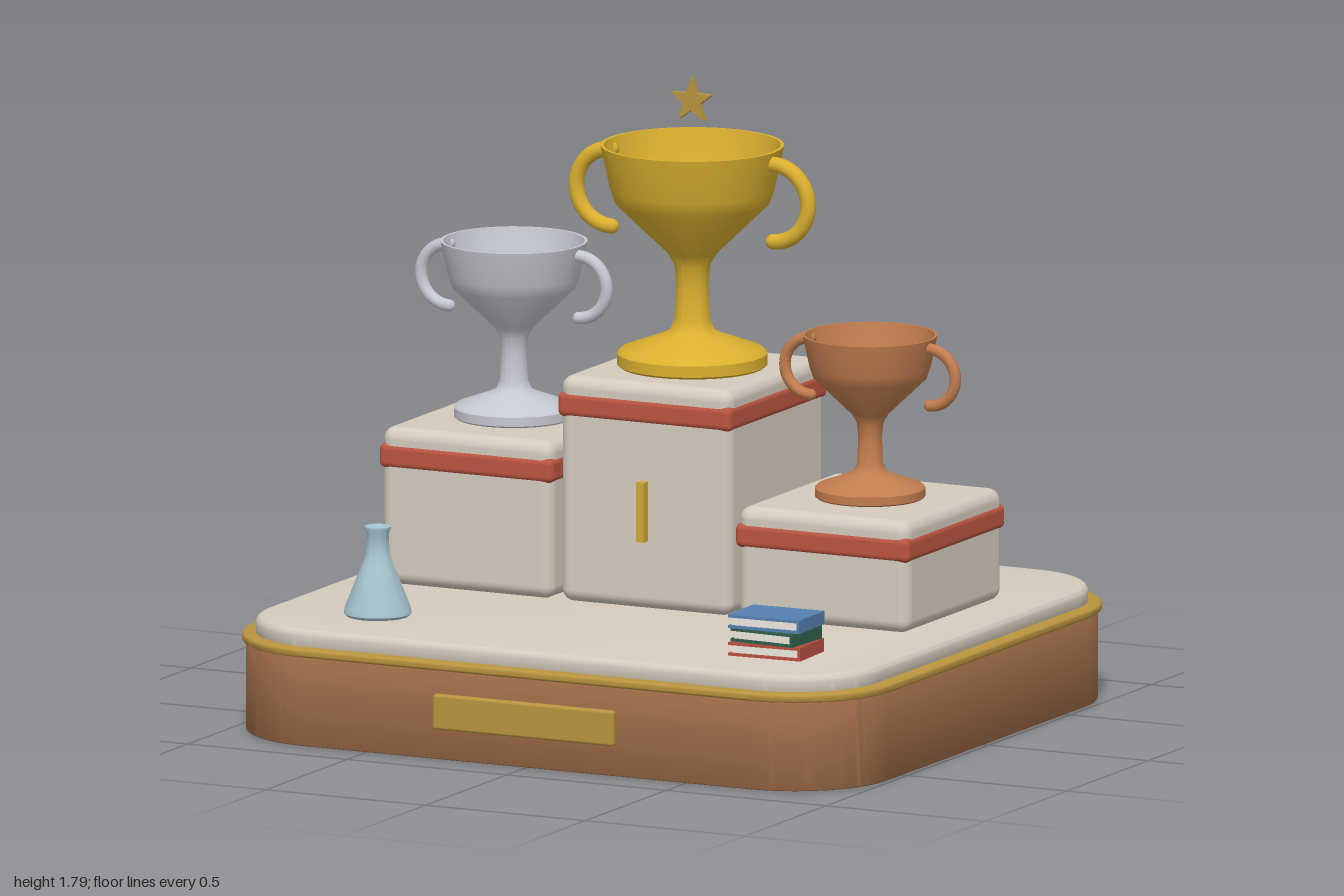
import * as THREE from 'three';
import { toCreasedNormals } from 'three/addons/utils/BufferGeometryUtils.js';
import { RoundedBoxGeometry } from 'three/addons/geometries/RoundedBoxGeometry.js';

const material = (color, side = THREE.FrontSide) => new THREE.MeshStandardMaterial({ color, side });
const WOOD = material(0xa06d48), CREAM = material(0xd4cbbd), TRIM = material(0xb9943f);
const RED = material(0xbb5540), PAPER = material(0xeeeae0);

function add(parent, name, geometry, mat, x = 0, y = 0, z = 0) {
  const mesh = new THREE.Mesh(geometry, mat);
  mesh.name = name;
  mesh.position.set(x, y, z);
  parent.add(mesh);
  return mesh;
}

// Flat plate with rounded plan corners, standing on y = 0, soft upper and lower edges
function plate(halfX, halfZ, radius, height, bevel) {
  const x = halfX - bevel, z = halfZ - bevel, r = radius - bevel;
  const s = new THREE.Shape();
  s.absarc(x - r, z - r, r, 0, Math.PI / 2);
  s.absarc(r - x, z - r, r, Math.PI / 2, Math.PI);
  s.absarc(r - x, r - z, r, Math.PI, Math.PI * 1.5);
  s.absarc(x - r, r - z, r, Math.PI * 1.5, Math.PI * 2);
  s.closePath();
  const g = new THREE.ExtrudeGeometry(s, {
    depth: height - 2 * bevel, bevelThickness: bevel, bevelSize: bevel, bevelSegments: 4, curveSegments: 16,
  });
  g.translate(0, 0, bevel).rotateX(-Math.PI / 2);
  return toCreasedNormals(g, 0.6);
}

function lathe(points, segments = 48) {
  const g = new THREE.LatheGeometry(points.map(([r, y]) => new THREE.Vector2(r, y)), segments);
  return toCreasedNormals(g, 0.75);
}

// Cup with foot, stem and two hooked handles
function trophy(name, color, scale) {
  const group = new THREE.Group();
  group.name = name;
  const metal = material(color, THREE.DoubleSide);
  add(group, 'cup', lathe([
    [0, 0], [0.2, 0], [0.21, 0.008], [0.21, 0.04], [0.2, 0.05], [0.09, 0.09], [0.062, 0.105], [0.05, 0.135],
    [0.045, 0.23], [0.05, 0.29], [0.07, 0.325], [0.215, 0.465], [0.23, 0.505], [0.257, 0.631],
    [0.247, 0.631], [0.22, 0.51], [0.2, 0.465], [0.06, 0.345], [0, 0.335],
  ]), metal);
  for (const side of [-1, 1]) {
    const handle = add(group, side > 0 ? 'leftHandle' : 'rightHandle',
      new THREE.TorusGeometry(0.11, 0.022, 12, 28, Math.PI), metal, side * 0.253, 0.487, 0);
    handle.rotation.z = -side * Math.PI / 2;
    // Rounded handle ends
    for (const y of [-0.11, 0.11])
      add(group, 'handleEnd', new THREE.SphereGeometry(0.0215, 12, 8), metal, side * 0.253, 0.487 + y, 0);
  }
  group.scale.setScalar(scale);
  return group;
}

function star(outer, inner, depth) {
  const s = new THREE.Shape();
  for (let i = 0; i < 10; i++) {
    const a = Math.PI / 2 + i * Math.PI / 5, r = i % 2 ? inner : outer;
    s[i ? 'lineTo' : 'moveTo'](r * Math.cos(a), r * Math.sin(a));
  }
  s.closePath();
  return new THREE.ExtrudeGeometry(s, { depth, bevelEnabled: false }).translate(0, 0, -depth / 2);
}

// Closed book: two covers, a spine and a page block
function book(color, width, depth, height) {
  const group = new THREE.Group();
  group.name = 'book';
  const cover = material(color), t = 0.008;
  for (const y of [t / 2, height - t / 2])
    add(group, 'cover', new THREE.BoxGeometry(width, t, depth), cover, 0, y, 0);
  add(group, 'spine', new THREE.BoxGeometry(t, height - 2 * t, depth), cover, width / 2 - t / 2, height / 2, 0);
  add(group, 'pages', new THREE.BoxGeometry(width - 0.02, height - 2 * t, depth - 0.014), PAPER, -0.002, height / 2, 0);
  return group;
}

export function createModel() {
  const model = new THREE.Group();
  model.name = 'awardPodium';
  const Z = -0.015, ROW = -0.14, FLOOR = 0.325;

  // Plinth
  add(model, 'woodBase', plate(0.988, 0.9, 0.29, 0.26, 0.006), WOOD, 0, 0, Z);
  add(model, 'goldTrim', plate(1, 0.91, 0.3, 0.025, 0.008), TRIM, 0, 0.253, Z);
  add(model, 'topSlab', plate(0.96, 0.873, 0.26, 0.065, 0.02), CREAM, 0, 0.26, Z);
  add(model, 'namePlate', new RoundedBoxGeometry(0.566, 0.1, 0.025, 3, 0.008), TRIM, 0, 0.138, 0.892);

  // Podium steps, each with a red band and its trophy
  const steps = [
    ['gold', 0, 0.967, 0xdbb02f, 1],
    ['silver', -0.559, 0.772, 0xc6c8d0, 0.8],
    ['bronze', 0.557, 0.643, 0xc27d4e, 0.735],
  ];
  for (const [name, x, top, color, scale] of steps) {
    const height = top - FLOOR;
    add(model, name + 'Step', new RoundedBoxGeometry(0.535, height, 0.595, 5, 0.035), CREAM, x, FLOOR + height / 2, ROW);
    add(model, name + 'Band', new RoundedBoxGeometry(0.545, 0.07, 0.605, 4, 0.018), RED, x, top - 0.081, ROW);
    const cup = trophy(name + 'Trophy', color, scale);
    cup.position.set(x, top - 0.002, ROW);
    model.add(cup);
  }

  // Upright inlay on the tallest step and the star above its cup
  add(model, 'inlayBar', new THREE.BoxGeometry(0.024, 0.17, 0.035), material(0xd2a838), 0, 0.605, 0.165);
  add(model, 'star', star(0.066, 0.027, 0.02), TRIM, 0, 1.721, ROW);

  // Flask
  add(model, 'flask', lathe([
    [0, 0], [0.088, 0], [0.095, 0.008], [0.092, 0.024], [0.04, 0.155], [0.033, 0.18], [0.031, 0.235],
    [0.037, 0.246], [0.037, 0.253], [0.03, 0.253], [0, 0.25],
  ], 32), material(0xa9c6d2, THREE.DoubleSide), -0.625, FLOOR, 0.568);

  // Stack of books, slightly twisted
  [[0xb9503f, 0.05], [0x2f5f4a, -0.06], [0x5580b0, 0.03]].forEach(([color, turn], i) => {
    const b = book(color, i === 1 ? 0.2 : 0.22, 0.165, 0.038);
    b.position.set(0.622, FLOOR + i * 0.039, 0.565);
    b.rotation.y = turn;
    model.add(b);
  });

  return model;
}
